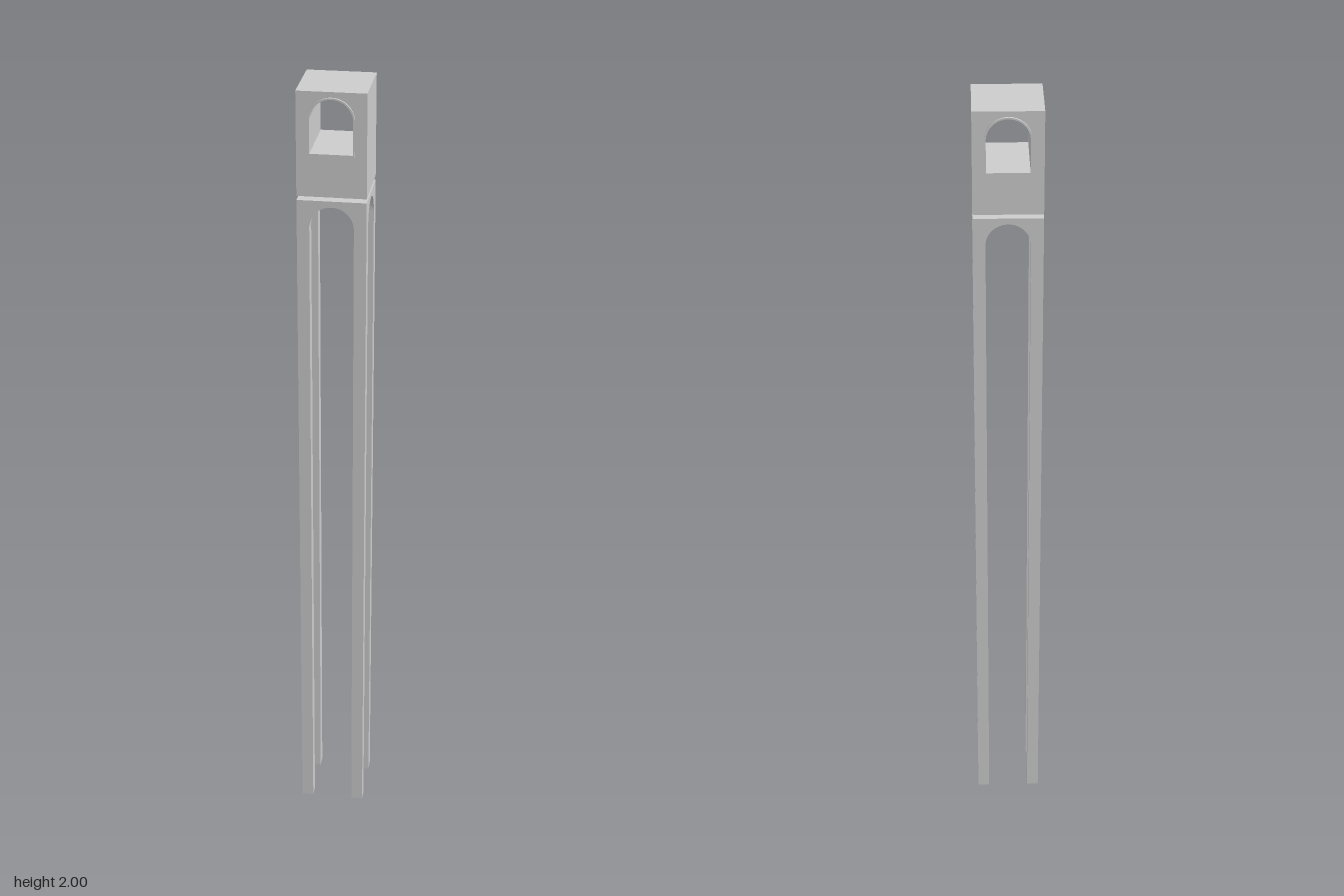
import * as THREE from 'three';

const HALF = 0.083;          // half width of the tower
const R = 0.053;             // radius of the leg arches
const SPRING = 1.669;        // height where the leg arches begin
const BASE_TOP = 1.737;      // top of the legged base
const HEAD_BOTTOM = 1.747;   // underside of the upper block

// Round-headed outline: flat sill, straight jambs, semicircular top
function archPath(Type, r, sill, spring) {
  const p = new Type();
  p.moveTo(-r, sill);
  p.lineTo(r, sill);
  p.lineTo(r, spring);
  p.absarc(0, spring, r, 0, Math.PI, false);
  p.lineTo(-r, sill);
  return p;
}

function rectShape(w, y0, y1) {
  const s = new THREE.Shape();
  s.moveTo(-w, y0);
  s.lineTo(w, y0);
  s.lineTo(w, y1);
  s.lineTo(-w, y1);
  s.closePath();
  return s;
}

// Extrusion centred on z = 0
function extrude(shape, depth) {
  const g = new THREE.ExtrudeGeometry(shape, { depth, bevelEnabled: false, curveSegments: 24 });
  return g.translate(0, 0, -depth / 2);
}

// Underside of two crossing barrel vaults
function vaultGeometry() {
  const n = 24, t = [-HALF];
  for (let i = 0; i <= n; i++) t.push(-R * Math.cos(Math.PI * i / n));
  t.push(HALF);
  const pos = [];
  const corner = (i, j) => {
    const x = t[i], z = t[j];
    const m = Math.min(Math.abs(x), Math.abs(z), R);
    return [x, SPRING + Math.sqrt(R * R - m * m), z];
  };
  const last = t.length - 2;
  for (let i = 0; i <= last; i++) {
    for (let j = 0; j <= last; j++) {
      // the four corners rest on the legs
      if ((i === 0 || i === last) && (j === 0 || j === last)) continue;
      const a = corner(i, j), b = corner(i + 1, j), c = corner(i + 1, j + 1), d = corner(i, j + 1);
      // split each cell along the groin
      const same = (t[i] + t[i + 1]) * (t[j] + t[j + 1]) > 0;
      const tris = same ? [a, b, c, a, c, d] : [a, b, d, b, c, d];
      for (const p of tris) pos.push(...p);
    }
  }
  const g = new THREE.BufferGeometry();
  g.setAttribute('position', new THREE.Float32BufferAttribute(pos, 3));
  g.computeVertexNormals();
  return g;
}

export function createModel() {
  const model = new THREE.Group();
  model.name = 'tower';
  const mat = new THREE.MeshStandardMaterial({ color: 0xcccccc });
  const add = (name, geo, parent = model) => {
    const m = new THREE.Mesh(geo, mat);
    m.name = name;
    parent.add(m);
    return m;
  };

  // Four slender square legs
  const legs = new THREE.Group();
  legs.name = 'legs';
  model.add(legs);
  const w = HALF - R;
  for (const sx of [-1, 1]) for (const sz of [-1, 1]) {
    add('leg', new THREE.BoxGeometry(w, SPRING, w), legs)
      .position.set(sx * (R + w / 2), SPRING / 2, sz * (R + w / 2));
  }

  // Arched heads on all four sides, joined by a groin vault
  const arches = new THREE.Group();
  arches.name = 'arches';
  model.add(arches);
  const face = new THREE.Shape();
  face.moveTo(-HALF, SPRING);
  face.lineTo(-R, SPRING);
  face.absarc(0, SPRING, R, Math.PI, 0, true);
  face.lineTo(HALF, SPRING);
  face.lineTo(HALF, BASE_TOP);
  face.lineTo(-HALF, BASE_TOP);
  face.closePath();
  const faceGeo = new THREE.ShapeGeometry(face, 24).translate(0, 0, HALF);
  for (let k = 0; k < 4; k++) add('archFace', faceGeo, arches).rotation.y = k * Math.PI / 2;
  add('vault', vaultGeometry(), arches);
  const roof = new THREE.PlaneGeometry(2 * HALF, 2 * HALF).rotateX(-Math.PI / 2);
  add('baseTop', roof, arches).position.y = BASE_TOP;

  // Upper block pierced from front to back by an arched opening
  const block = rectShape(HALF, HEAD_BOTTOM, 2);
  block.holes.push(archPath(THREE.Path, 0.051, 1.853, 1.932));
  add('upperBlock', extrude(block, 2 * HALF));

  // Thin raised surround at each end of the opening
  const trim = archPath(THREE.Shape, 0.055, 1.848, 1.932);
  trim.holes.push(archPath(THREE.Path, 0.051, 1.853, 1.932));
  const trimGeo = extrude(trim, 0.005);
  add('frontSurround', trimGeo).position.z = HALF + 0.0025;
  add('backSurround', trimGeo).position.z = -HALF - 0.0025;

  return model;
}
